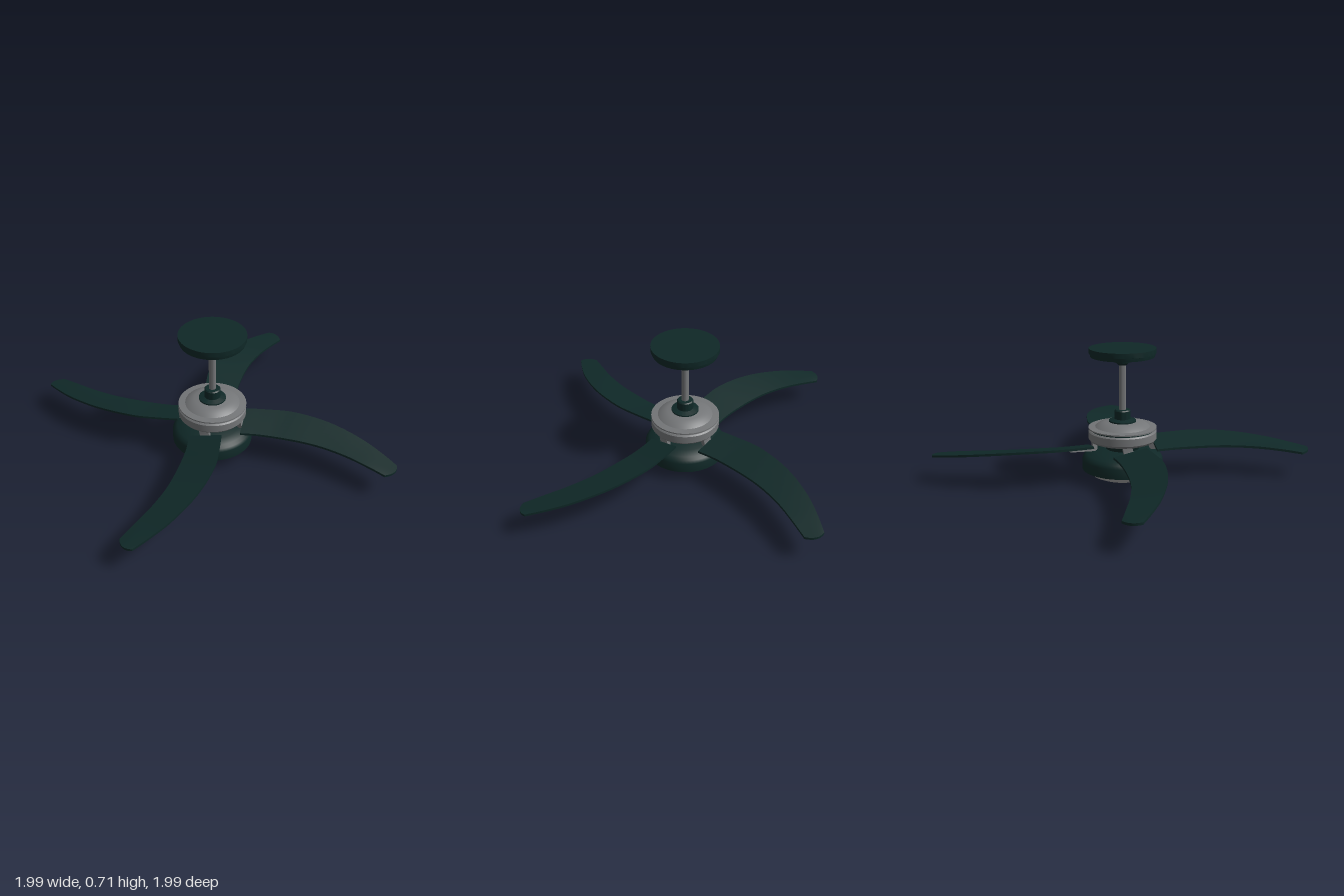
import * as THREE from 'three';
import { toCreasedNormals } from 'three/addons/utils/BufferGeometryUtils.js';

function material(name, color) {
  const m = new THREE.MeshStandardMaterial({ color });
  m.name = name;
  return m;
}

// Turned part; profile runs from the bottom up as [radius, height]
function turned(name, profile, mat, crease = 0.5) {
  const pts = profile.map(([r, y]) => new THREE.Vector2(r, y));
  const mesh = new THREE.Mesh(toCreasedNormals(new THREE.LatheGeometry(pts, 64), crease), mat);
  mesh.name = name;
  return mesh;
}

const curve = (pts) => new THREE.CatmullRomCurve3(pts.map(([x, z]) => new THREE.Vector3(x, 0, z)));

// Swept blade along +x: lofted between two edge curves, pitched and drooping to the tip
function bladeGeometry() {
  const back = curve([[0.17, -0.09], [0.28, -0.105], [0.41, -0.115], [0.62, -0.08], [0.81, 0.0], [0.92, 0.072], [0.995, 0.13]]);
  const front = curve([[0.17, 0.085], [0.26, 0.073], [0.36, 0.07], [0.57, 0.085], [0.73, 0.125], [0.84, 0.168], [0.94, 0.21]]);
  const rows = 30, cols = 8, half = 0.006, ring = 2 * (cols + 1);
  const pos = [], index = [];
  for (let i = 0; i <= rows; i++) {
    const t = i / rows, a = back.getPoint(t), b = front.getPoint(t);
    for (let j = 0; j < ring; j++) {
      const top = j <= cols;
      const s = (top ? j : ring - 1 - j) / cols;
      const p = a.clone().lerp(b, s);
      const bulge = 0.02 * 4 * s * (1 - s) * t ** 10;
      const droop = 0.05 * (Math.max(0, p.x - 0.4) / 0.6) ** 2;
      const pitch = 0.22 * (s - 0.5) * (b.z - a.z);
      pos.push(p.x + 0.9 * bulge, 0.187 - droop - pitch + (top ? half : -half), p.z + 0.4 * bulge);
    }
  }
  const quad = (a, b, c, d) => index.push(a, b, c, a, c, d);
  for (let i = 0; i < rows; i++) {
    for (let j = 0; j < ring; j++) {
      const k = (j + 1) % ring, r = i * ring;
      quad(r + j, r + k, r + ring + k, r + ring + j);
    }
  }
  // Root and tip ends
  const e = rows * ring;
  for (let j = 0; j < cols; j++) {
    const m = ring - 1 - j;
    quad(j, m, m - 1, j + 1);
    quad(e + j, e + j + 1, e + m - 1, e + m);
  }
  const g = new THREE.BufferGeometry();
  g.setAttribute('position', new THREE.Float32BufferAttribute(pos, 3));
  g.setIndex(index);
  return toCreasedNormals(g, 0.6);
}

// Bent arm from the motor down and out under the blade
function bracketGeometry() {
  const s = new THREE.Shape();
  s.moveTo(0.14, 0.235);
  s.lineTo(0.14, 0.185);
  s.quadraticCurveTo(0.14, 0.163, 0.162, 0.163);
  s.lineTo(0.285, 0.163);
  s.lineTo(0.285, 0.179);
  s.lineTo(0.178, 0.179);
  s.quadraticCurveTo(0.164, 0.179, 0.164, 0.193);
  s.lineTo(0.164, 0.235);
  s.closePath();
  const g = new THREE.ExtrudeGeometry(s, { depth: 0.05, bevelEnabled: false, curveSegments: 6 });
  // Pitch the arm to match the blade
  g.translate(0, -0.175, -0.025).rotateX(0.22).translate(0, 0.175, 0);
  return toCreasedNormals(g, 0.6);
}

export function createModel() {
  const dark = material('darkGreen', 0x0f2827);
  const metal = material('greyMetal', 0x747678);
  const glass = material('paleGlass', 0xa6a6a6);
  const fan = new THREE.Group();
  fan.name = 'ceilingFan';

  fan.add(
    turned('canopy', [[0, 0.62], [0.022, 0.62], [0.036, 0.632], [0.041, 0.652], [0.06, 0.652], [0.168, 0.665],
      [0.172, 0.683], [0.176, 0.684], [0.176, 0.71], [0, 0.71]], dark),
    turned('downrod', [[0.019, 0.34], [0.019, 0.635]], metal),
    turned('coupler', [[0, 0.31], [0.072, 0.31], [0.072, 0.324], [0.043, 0.332], [0.043, 0.375], [0.038, 0.381], [0, 0.381]], dark),
    turned('motorHousing', [[0, 0.208], [0.15, 0.208], [0.172, 0.216], [0.181, 0.227], [0.181, 0.266], [0.174, 0.273],
      [0.168, 0.273], [0.168, 0.281], [0.181, 0.281], [0.181, 0.288], [0.145, 0.291], [0.125, 0.305], [0.095, 0.316], [0, 0.32]], metal),
    turned('housingGroove', [[0.17, 0.273], [0.17, 0.281]], dark),
    turned('neck', [[0.085, 0.15], [0.088, 0.17], [0.112, 0.21]], dark),
    turned('lightKit', [[0, 0.062], [0.215, 0.062], [0.215, 0.115], [0.207, 0.132], [0.19, 0.145], [0.15, 0.158], [0.09, 0.17], [0, 0.17]], dark),
    turned('lightDome', [[0, 0], [0.05, 0.002], [0.095, 0.008], [0.135, 0.018], [0.165, 0.031], [0.185, 0.047], [0.193, 0.066]], glass, 0.9)
  );

  // Four blades with their brackets
  const bladeGeo = bladeGeometry(), bracketGeo = bracketGeometry();
  for (let i = 0; i < 4; i++) {
    const arm = new THREE.Group();
    arm.name = 'bladeArm' + (i + 1);
    const blade = new THREE.Mesh(bladeGeo, dark);
    blade.name = 'blade';
    const bracket = new THREE.Mesh(bracketGeo, metal);
    bracket.name = 'bladeBracket';
    arm.add(blade, bracket);
    arm.rotation.y = i * Math.PI / 2;
    fan.add(arm);
  }
  return fan;
}
